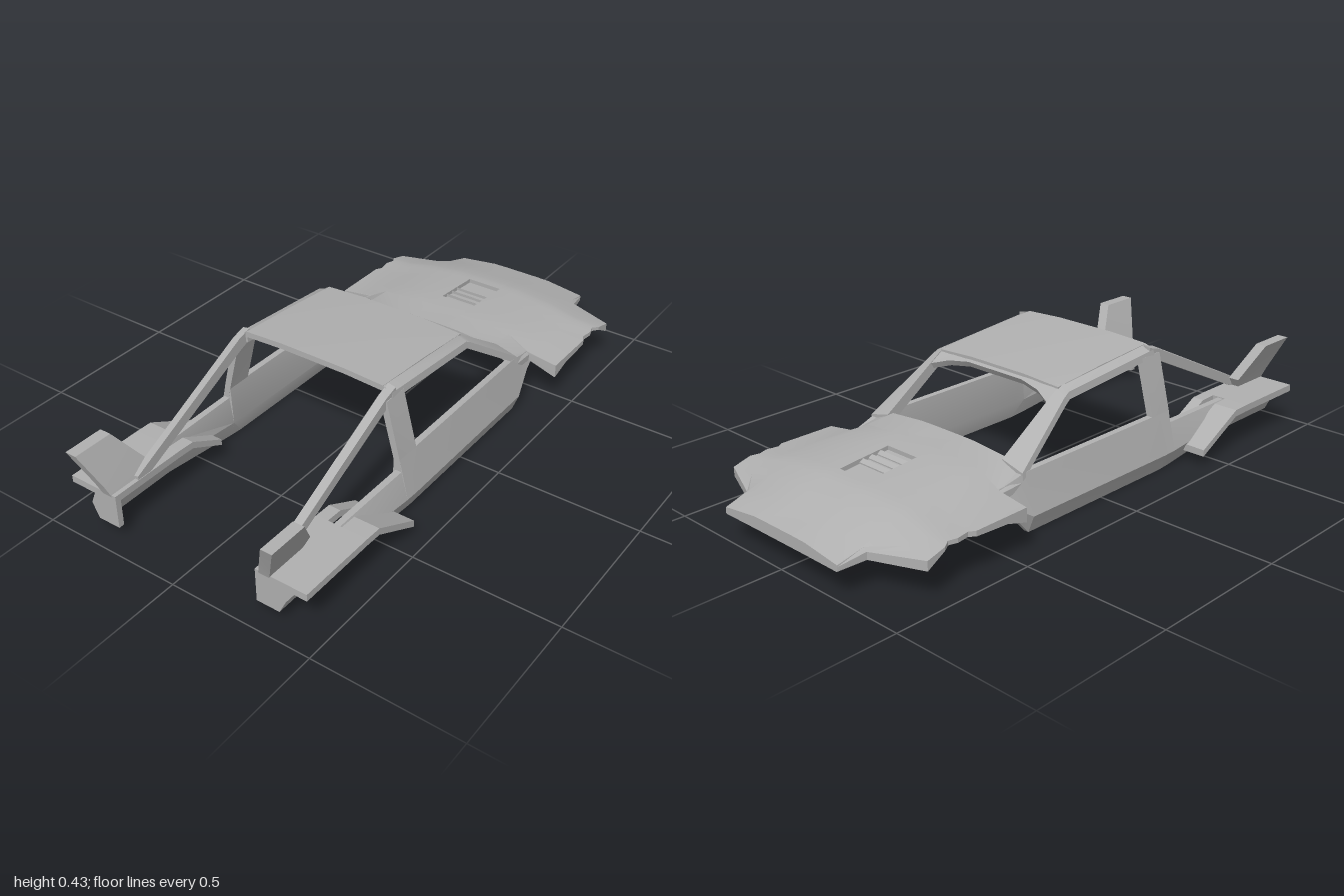
import * as THREE from 'three';
import { toCreasedNormals } from 'three/addons/utils/BufferGeometryUtils.js';

// Closed solid through equal-length loops of [x, y, z]; each loop runs along one side and back along the other.
function loft(loops) {
  const n = loops[0].length, pos = loops.flat(2), idx = [];
  const quad = (a, b, c, d) => idx.push(a, b, c, a, c, d);
  for (let i = 0; i < loops.length - 1; i++)
    for (let j = 0; j < n; j++) {
      const k = (j + 1) % n;
      quad(i * n + j, i * n + k, (i + 1) * n + k, (i + 1) * n + j);
    }
  const last = (loops.length - 1) * n;
  for (let j = 0; j < n / 2 - 1; j++) {
    quad(j, n - 1 - j, n - 2 - j, j + 1);
    quad(last + j, last + j + 1, last + n - 2 - j, last + n - 1 - j);
  }
  // Turn the faces outward using the signed volume
  const v = (i) => new THREE.Vector3().fromArray(pos, i * 3);
  let volume = 0;
  for (let i = 0; i < idx.length; i += 3) volume += v(idx[i]).dot(v(idx[i + 1]).cross(v(idx[i + 2])));
  if (volume < 0) idx.reverse();
  const g = new THREE.BufferGeometry();
  g.setAttribute('position', new THREE.Float32BufferAttribute(pos, 3));
  g.setIndex(idx);
  return toCreasedNormals(g, 0.42);
}

export function createModel() {
  const model = new THREE.Group();
  model.name = 'carBodyShell';
  const paint = new THREE.MeshStandardMaterial({ color: 0xb0b0b0 });
  paint.name = 'grey paint';
  const add = (name, geometry) => {
    const mesh = new THREE.Mesh(geometry, paint);
    mesh.name = name;
    model.add(mesh);
    return mesh;
  };
  const box = (name, x0, x1, y0, y1, z0, z1) =>
    add(name, new THREE.BoxGeometry(x1 - x0, y1 - y0, z1 - z0))
      .position.set((x0 + x1) / 2, (y0 + y1) / 2, (z0 + z1) / 2);

  // Bonnet stations: x, centre y, y at z 0.26, shoulder z, shoulder y, edge z, edge y, edge bottom y
  const bonnet = [
    [0.34, 0.235, 0.222, 0.33, 0.195, 0.348, 0.172, 0.15],
    [0.45, 0.228, 0.214, 0.33, 0.172, 0.345, 0.163, 0.14],
    [0.451, 0.228, 0.214, 0.34, 0.172, 0.45, 0.155, 0.107],
    [0.53, 0.222, 0.208, 0.35, 0.17, 0.45, 0.155, 0.13],
    [0.655, 0.212, 0.196, 0.355, 0.167, 0.45, 0.155, 0.137],
    [0.675, 0.21, 0.194, 0.355, 0.166, 0.437, 0.155, 0.139],
    [0.72, 0.206, 0.19, 0.36, 0.165, 0.444, 0.155, 0.14],
    [0.75, 0.203, 0.187, 0.36, 0.163, 0.435, 0.154, 0.14],
    [0.775, 0.198, 0.181, 0.36, 0.158, 0.45, 0.15, 0.138],
    [0.84, 0.18, 0.163, 0.35, 0.142, 0.45, 0.132, 0.1],
    [0.91, 0.157, 0.139, 0.268, 0.136, 0.28, 0.125, 0.1],
    [1, 0.131, 0.112, 0.261, 0.111, 0.262, 0.106, 0.092],
  ];
  const bottom = (x, y) => y - (x > 0.95 ? 0.04 : 0.022);
  for (const s of [1, -1])
    add('bonnetSide', loft(bonnet.map(([x, yc, yi, zs, ys, ze, ye, yb]) => {
      const top = [[0.065, yc], [0.12, yc - 0.001], [0.26, yi], [zs, ys], [ze, ye]];
      const low = [[ze, yb], [zs, Math.max(yb, ys - 0.022)], [0.26, bottom(x, yi) + (x > 0.95 ? 0.018 : 0)],
        [0.12, bottom(x, yc)], [0.065, bottom(x, yc)]];
      return [...top, ...low].map(([z, y]) => [x, y, z * s]);
    })));
  // Centre strip, left open for the vent
  const strip = (from, to) => add('bonnetCentre', loft(bonnet.filter(([x]) => x >= from && x <= to).map(([x, y]) =>
    [[x, y, -0.065], [x, y, 0.065], [x, bottom(x, y), 0.065], [x, bottom(x, y), -0.065]])));
  strip(0.34, 0.53);
  strip(0.72, 1);

  // Bonnet vent: recessed floor and slats
  const ventSlab = (name, x0, x1, y0, y1, drop) => add(name, loft([[x0, y0], [x1, y1]].map(([x, y]) =>
    [[x, y, -0.065], [x, y, 0.065], [x, y - drop, 0.065], [x, y - drop, -0.065]])));
  ventSlab('ventFloor', 0.53, 0.72, 0.208, 0.191, 0.008);
  for (const x of [0.56, 0.595, 0.63]) ventSlab('ventSlat', x, x + 0.014, 0.217 - (x - 0.56) * 0.08, 0.208 - (x - 0.56) * 0.08, 0.01);

  // Roof panel
  add('roof', loft([[-0.32, 0.431, 0.424, 0.02], [-0.1, 0.415, 0.408, 0.02], [0.115, 0.395, 0.387, 0.022]].map(([x, yc, ye, t]) => {
    const row = [[-0.265, ye], [-0.12, yc], [0.12, yc], [0.265, ye]];
    return [...row.map(([z, y]) => [x, y, z]), ...row.reverse().map(([z, y]) => [x, y - t, z])];
  })));

  // Windscreen header, deeper at its corners
  add('windscreenHeader', loft([[-0.265, 0.165, 0.335], [-0.2, 0.14, 0.355], [-0.12, 0.128, 0.366], [0.12, 0.128, 0.366],
    [0.2, 0.14, 0.355], [0.265, 0.165, 0.335]].map(([z, x, y]) =>
    [[0.1, 0.39, z], [x, y + 0.014, z], [x - 0.012, y - 0.006, z], [0.09, 0.368, z]])));

  for (const s of [1, -1]) {
    const side = (name, loops) => add(name, loft(loops.map((l) => l.map(([x, y, z]) => [x, y, z * s]))));

    // Lower side: x, bottom y, waist y, top y, then bottom, waist and top outer z
    side('lowerSide', [
      [-0.94, 0.04, 0.09, 0.15, 0.35, 0.375, 0.35],
      [-0.65, 0.04, 0.09, 0.155, 0.352, 0.378, 0.352],
      [-0.35, 0.004, 0.062, 0.158, 0.355, 0.38, 0.355],
      [-0.349, 0.004, 0.062, 0.2, 0.355, 0.38, 0.348],
      [-0.3, 0, 0.06, 0.2, 0.355, 0.38, 0.348],
      [0.34, 0, 0.06, 0.2, 0.352, 0.375, 0.345],
      [0.43, 0.105, 0.118, 0.175, 0.345, 0.352, 0.335],
      [0.52, 0.14, 0.145, 0.165, 0.335, 0.335, 0.33],
    ].map(([x, yb, ym, yt, zb, zm, zt]) => [[x, yb, zb], [x, ym, zm], [x, yt, zt],
      [x, yt, zt - 0.022], [x, ym, zm - 0.06], [x, yb, zb - 0.018]]));

    // Roof rail running down into the windscreen pillar
    side('roofRailAndPillar', [
      [-0.32, 0.424, 0.41, 0.385, 0.297], [0.1, 0.389, 0.376, 0.352, 0.297], [0.125, 0.378, 0.362, 0.335, 0.3], [0.36, 0.222, 0.2, 0.175, 0.346],
    ].map(([x, yi, yo, yb, zo]) => [[x, yi, 0.262], [x, yo, zo], [x, yb, zo + 0.004], [x, yb, 0.262]]));

    // Door pillar behind the side window
    side('doorPillar', [[0.15, 0.336, 0.356], [0.2, 0.325, 0.348], [0.395, 0.274, 0.299]].map(([y, zi, zo]) =>
      [[-0.35, y, zi], [-0.26, y, zi], [-0.26, y, zo], [-0.35, y, zo]]));

    // Sloping rear buttress
    side('rearButtress', [[-0.3, 0.425, 0.385], [-0.35, 0.41, 0.365], [-0.78, 0.2, 0.16], [-0.84, 0.17, 0.14]].map(([x, yt, yb]) =>
      [[x, yt, 0.27], [x, yt - 0.005, 0.297], [x, yb, 0.297], [x, yb, 0.27]]));

    // Rear deck and the fender sloping down ahead of it
    const plate = (name, z0, z1, rows) => side(name, rows.map(([x, yt, yb]) =>
      [[x, yt, z0], [x, yt, z1], [x, yb, z1], [x, yb, z0]]));
    plate('rearDeck', 0.268, 0.45, [[-0.94, 0.158, 0.134], [-0.66, 0.158, 0.134]]);
    plate('rearFender', 0.36, 0.45, [[-0.66, 0.158, 0.134], [-0.6, 0.156, 0.132], [-0.42, 0.062, 0.038]]);
    plate('innerFender', 0.268, 0.31, [[-0.66, 0.158, 0.134], [-0.6, 0.156, 0.132], [-0.47, 0.088, 0.066]]);
    plate('rearEndPlate', 0.268, 0.35, [[-0.94, 0.15, 0.04], [-0.92, 0.15, 0.04]]);

    // Tail fin leaning outward and back
    side('tailFin', [[0.15, -0.94, -0.8, 0.28], [0.19, -0.953, -0.775, 0.295], [0.31, -1, -0.86, 0.346]].map(([y, x0, x1, z]) =>
      [[x0, y, z], [x1, y, z], [x1, y, z + 0.04], [x0, y, z + 0.04]]));

    // Round lamp bucket under the bonnet
    const cup = [[0, 0.15], [0.04, 0.15], [0.042, 0.13], [0.06, 0.13], [0.062, 0.185]].map(([r, y]) => new THREE.Vector2(r, y));
    add('lampBucket', toCreasedNormals(new THREE.LatheGeometry(cup, 24), 0.5)).position.set(0.7, 0, 0.185 * s);
  }

  // Shallow lip under the nose
  box('noseLip', 0.93, 0.995, 0.088, 0.104, -0.12, 0.12);
  return model;
}
